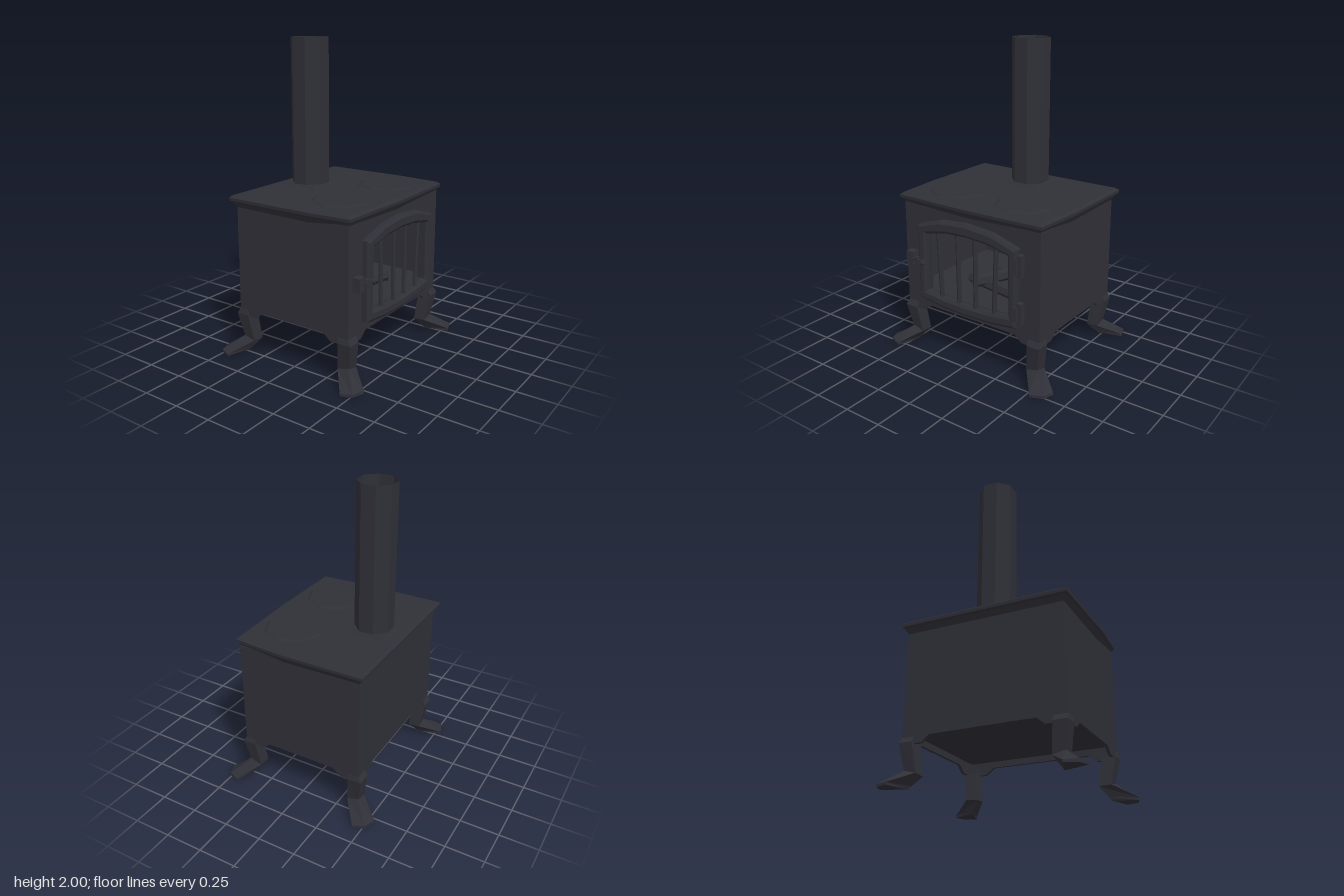
import * as THREE from 'three';

const iron = new THREE.MeshStandardMaterial({ color: 0x2f2f37, flatShading: true, side: THREE.DoubleSide });
iron.name = 'cast iron';

// Joins rings of [x, y, z] points, bottom to top, and caps both ends
function loft(rings) {
  const n = rings[0].length, index = [];
  for (let r = 0; r < rings.length - 1; r++) {
    for (let i = 0; i < n; i++) {
      const a = r * n + i, b = r * n + (i + 1) % n;
      index.push(a, b, b + n, a, b + n, a + n);
    }
  }
  const t = (rings.length - 1) * n;
  for (let i = 1; i < n - 1; i++) index.push(0, i + 1, i, t, t + i, t + i + 1);
  const g = new THREE.BufferGeometry();
  g.setAttribute('position', new THREE.Float32BufferAttribute(rings.flat(2), 3));
  g.setIndex(index);
  const flat = g.toNonIndexed();
  flat.computeVertexNormals();
  return flat;
}

const shapeOf = pts => new THREE.Shape(pts.map(p => new THREE.Vector2(...p)));

export function createModel() {
  const model = new THREE.Group();
  model.name = 'woodStove';

  function add(name, geometry, x = 0, y = 0, z = 0, parent = model) {
    const m = new THREE.Mesh(geometry, iron);
    m.name = name;
    m.position.set(x, y, z);
    parent.add(m);
    return m;
  }
  const box = (name, w, h, d, x, y, z) => add(name, new THREE.BoxGeometry(w, h, d), x, y, z);

  // Straight round piece between two points
  function rod(name, a, b, radius, sides) {
    const from = new THREE.Vector3(...a), to = new THREE.Vector3(...b);
    const dir = to.clone().sub(from);
    const m = add(name, new THREE.CylinderGeometry(radius, radius, dir.length(), sides));
    m.position.copy(from).add(to).multiplyScalar(0.5);
    m.quaternion.setFromUnitVectors(new THREE.Vector3(0, 1, 0), dir.normalize());
  }

  // Firebox: hollow, with a raised floor
  for (const s of [-1, 1]) box('sideWall', 0.02, 0.69, 0.84, s * 0.51, 0.645, 0);
  box('backWall', 1.0, 0.69, 0.02, 0, 0.645, -0.41);
  box('floor', 1.0, 0.05, 0.8, 0, 0.365, 0);

  // Door opening, arched above and bowed below
  const opening = [[-0.32, 0.43], [-0.16, 0.413], [0, 0.407], [0.16, 0.413], [0.32, 0.43],
    [0.315, 0.82], [0.16, 0.853], [0, 0.862], [-0.16, 0.853], [-0.315, 0.82]];

  const front = shapeOf([[-0.5, 0.3], [0.5, 0.3], [0.5, 0.99], [-0.5, 0.99]]);
  front.holes.push(shapeOf(opening));
  add('frontWall', new THREE.ExtrudeGeometry(front, { depth: 0.02, bevelEnabled: false }), 0, 0, 0.4);

  // Door frame
  const door = shapeOf([[-0.38, 0.365], [-0.2, 0.342], [0, 0.335], [0.2, 0.342], [0.375, 0.362],
    [0.385, 0.87], [0.2, 0.928], [0, 0.945], [-0.2, 0.928], [-0.385, 0.87]]);
  door.holes.push(shapeOf(opening));
  add('doorFrame', new THREE.ExtrudeGeometry(door, {
    depth: 0.03, bevelThickness: 0.015, bevelSize: 0.018, bevelOffset: -0.018, bevelSegments: 1
  }), 0, 0, 0.425);

  // Door bars
  for (const [top, bottom] of [[-0.225, -0.205], [-0.07, -0.065], [0.065, 0.065], [0.225, 0.205]]) {
    rod('doorBar', [bottom, 0.4, 0.445], [top, 0.865, 0.445], 0.015, 6);
  }

  // Hinges and latch
  for (const y of [0.765, 0.46]) {
    box('hinge', 0.035, 0.14, 0.045, 0.393, y, 0.435);
    box('hingeLeaf', 0.04, 0.09, 0.015, 0.365, y, 0.462);
  }
  box('latchPlate', 0.055, 0.09, 0.055, -0.452, 0.627, 0.445);
  box('latchBar', 0.1, 0.025, 0.015, -0.38, 0.625, 0.472);
  box('latchStop', 0.03, 0.045, 0.02, -0.395, 0.625, 0.466);
  const knob = add('latchKnob', new THREE.CylinderGeometry(0.01, 0.02, 0.02, 6), -0.34, 0.622, 0.48);
  knob.rotation.x = Math.PI / 2;

  // Logs in the firebox
  rod('log', [-0.22, 0.43, 0.12], [0.24, 0.43, 0.2], 0.04, 6);
  rod('log', [-0.15, 0.43, -0.08], [0.26, 0.43, -0.02], 0.045, 6);
  rod('log', [-0.12, 0.45, 0.2], [0.2, 0.54, -0.08], 0.04, 6);
  rod('log', [0.25, 0.42, 0.22], [0.02, 0.5, -0.12], 0.035, 6);

  // Lid: a slightly bowed slab with a flared rim
  const outline = [[-0.54, 0.445], [0, 0.455], [0.535, 0.44], [0.56, 0.1],
    [0.555, -0.455], [-0.555, -0.455], [-0.56, 0.15]];
  const lidRing = (y, inset) => outline.map(([x, z]) => [x * (1 - inset / 0.56), y, z * (1 - inset / 0.455)]);
  add('lid', loft([lidRing(0.965, 0.04), lidRing(1.005, 0.015), lidRing(1.015, 0.002),
    lidRing(1.035, 0), lidRing(1.05, 0.02)]));

  // Cooking plates
  for (const x of [-0.255, 0.255]) {
    add('cookingPlate', new THREE.CylinderGeometry(0.178, 0.2, 0.012, 8), x, 1.054, 0.19);
  }

  // Flue collar and open octagonal pipe
  const collarRing = (y, h) => [[-h, y, h], [h, y, h], [h, y, -h], [-h, y, -h]];
  add('flueCollar', loft([collarRing(1.045, 0.145), collarRing(1.065, 0.125)]), -0.003, 0, -0.245);
  add('fluePipe', new THREE.CylinderGeometry(0.1245, 0.1245, 0.945, 8, 1, true).rotateY(Math.PI / 8),
    0, 1.5275, -0.24);

  // Four splayed legs with corner brackets, mirrored from one corner
  const leg = loft([
    [[0.53, 0, 0.54], [0.61, 0, 0.51], [0.635, 0, 0.44], [0.48, 0, 0.39]],
    [[0.53, 0.015, 0.54], [0.61, 0.02, 0.51], [0.635, 0.015, 0.44], [0.465, 0.02, 0.375]],
    [[0.42, 0.085, 0.41], [0.5, 0.105, 0.41], [0.5, 0.085, 0.33], [0.42, 0.08, 0.33]],
    [[0.44, 0.265, 0.44], [0.53, 0.265, 0.44], [0.53, 0.265, 0.35], [0.44, 0.265, 0.35]],
    [[0.44, 0.3, 0.42], [0.52, 0.3, 0.42], [0.52, 0.3, 0.35], [0.44, 0.3, 0.35]]
  ]);
  const bracket = new THREE.ExtrudeGeometry(
    shapeOf([[0, 0], [0.13, 0], [0.13, 0.045], [-0.055, 0.045]]), { depth: 0.02, bevelEnabled: false });
  for (const sx of [-1, 1]) {
    for (const sz of [-1, 1]) {
      const corner = new THREE.Group();
      corner.name = (sz > 0 ? 'front' : 'back') + (sx > 0 ? 'Left' : 'Right') + 'Leg';
      corner.scale.set(sx, 1, sz);
      model.add(corner);
      add('leg', leg, 0, 0, 0, corner);
      add('frontBracket', bracket, 0.39, 0.257, 0.4, corner);
      add('sideBracket', bracket, 0.5, 0.257, 0.29, corner).rotation.y = -Math.PI / 2;
      corner.children[2].position.x = 0.52;
    }
  }
  return model;
}
